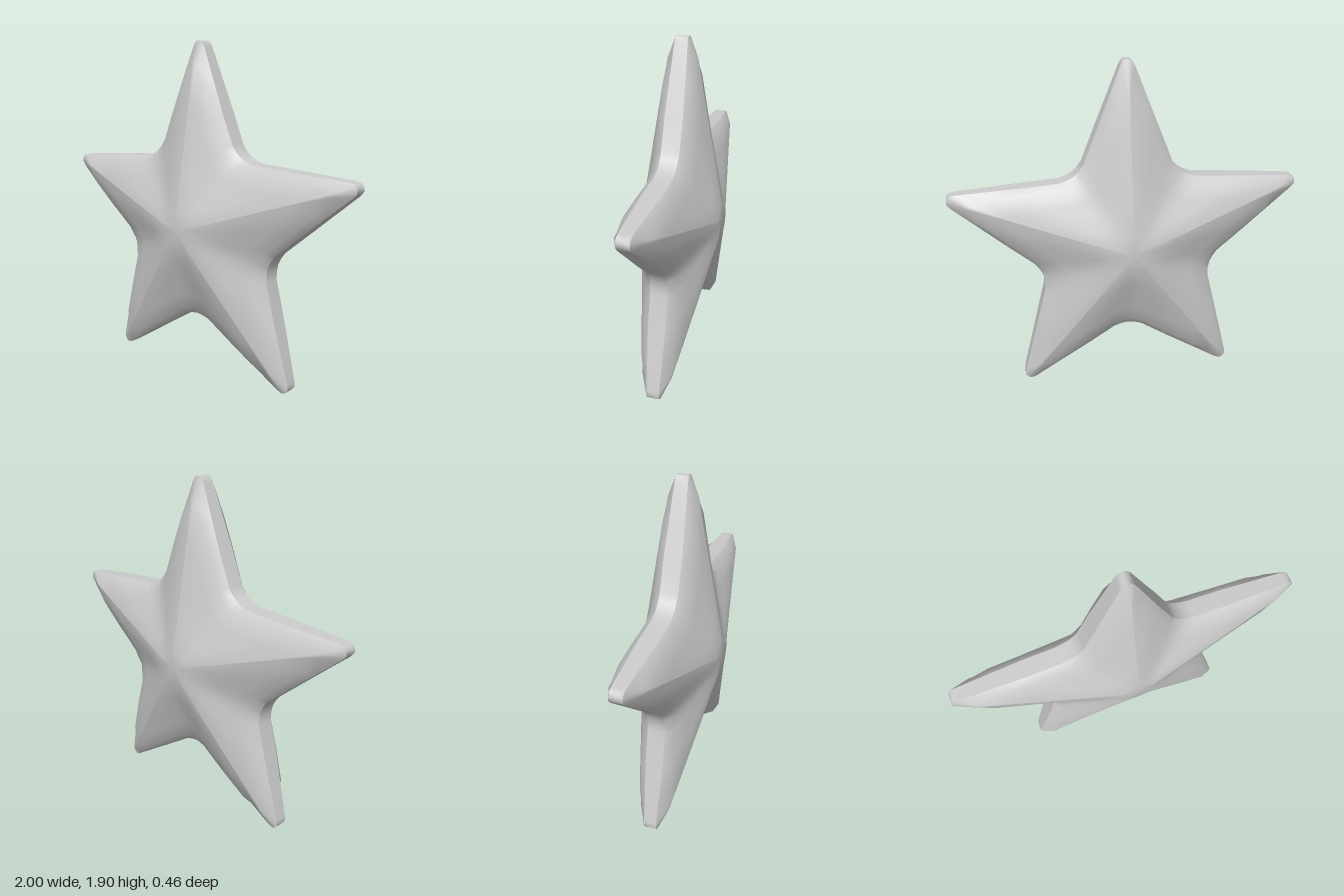
import * as THREE from 'three';

// Half an arm, from tip to valley: outer x, y, rim half thickness, then bevel x, y, z
const HALF_ARM = [
  [0, 1.047, 0.035, 0, 0.93, 0.083],
  [0.022, 1.042, 0.035, 0.008, 0.925, 0.083],
  [0.04, 1.012, 0.036, 0.016, 0.9, 0.084],
  [0.11, 0.835, 0.043, 0.08, 0.82, 0.087],
  [0.18, 0.66, 0.05, 0.15, 0.645, 0.09],
  [0.25, 0.485, 0.05, 0.215, 0.465, 0.092],
  [0.278, 0.447, 0.05, 0.25, 0.42, 0.092],
  [0.306, 0.421, 0.05, 0.276, 0.38, 0.092],
];
const PLATEAU_RADIUS = 0.11;
const PLATEAU_Z = 0.23;

// Closed star loop, clockwise from the front; column 0 = rim, 3 = bevel
function starLoop(column) {
  const loop = [];
  const last = HALF_ARM.length - 1;
  for (let arm = 0; arm < 5; arm++) {
    const turn = new THREE.Vector3(0, 0, 1);
    for (let i = 1 - last; i <= last; i++) {
      const [x, y, z] = HALF_ARM[Math.abs(i)].slice(column, column + 3);
      loop.push(new THREE.Vector3(Math.sign(i) * x, y, z)
        .applyAxisAngle(turn, -arm * Math.PI * 2 / 5));
    }
  }
  return loop;
}

// Skin a row of closed loops
function loft(loops) {
  const n = loops[0].length;
  const index = [];
  for (let j = 0; j < loops.length - 1; j++) {
    for (let i = 0; i < n; i++) {
      const k = (i + 1) % n;
      const a = j * n + i, b = j * n + k, c = a + n, d = b + n;
      index.push(a, b, d, a, d, c);
    }
  }
  const geometry = new THREE.BufferGeometry().setFromPoints(loops.flat());
  geometry.setIndex(index);
  geometry.computeVertexNormals();
  return geometry;
}

const mirrorZ = (loop) => loop.map((p) => new THREE.Vector3(p.x, p.y, -p.z));

export function createModel() {
  const group = new THREE.Group();
  group.name = 'star';
  const material = new THREE.MeshStandardMaterial({ color: 0xcccccc });

  const rim = starLoop(0);
  const bevel = starLoop(3);
  const centre = bevel.map(() => new THREE.Vector3(0, 0, PLATEAU_Z));
  const plateau = bevel.map((p) =>
    new THREE.Vector3(p.x, p.y, 0).setLength(PLATEAU_RADIUS).setZ(PLATEAU_Z));
  const slope = [0.25, 0.5, 0.75].map((t) =>
    plateau.map((p, i) => p.clone().lerp(bevel[i], t)));

  // Domed faces and the thin band between them
  const front = [centre, plateau, ...slope, bevel, rim];
  const back = front.map(mirrorZ).reverse();
  const parts = { frontFace: front, rimBand: [rim, mirrorZ(rim)], backFace: back };

  const floor = Math.min(...rim.map((p) => p.y));
  for (const [name, loops] of Object.entries(parts)) {
    const mesh = new THREE.Mesh(loft(loops), material);
    mesh.name = name;
    mesh.position.y = -floor;
    group.add(mesh);
  }
  return group;
}
